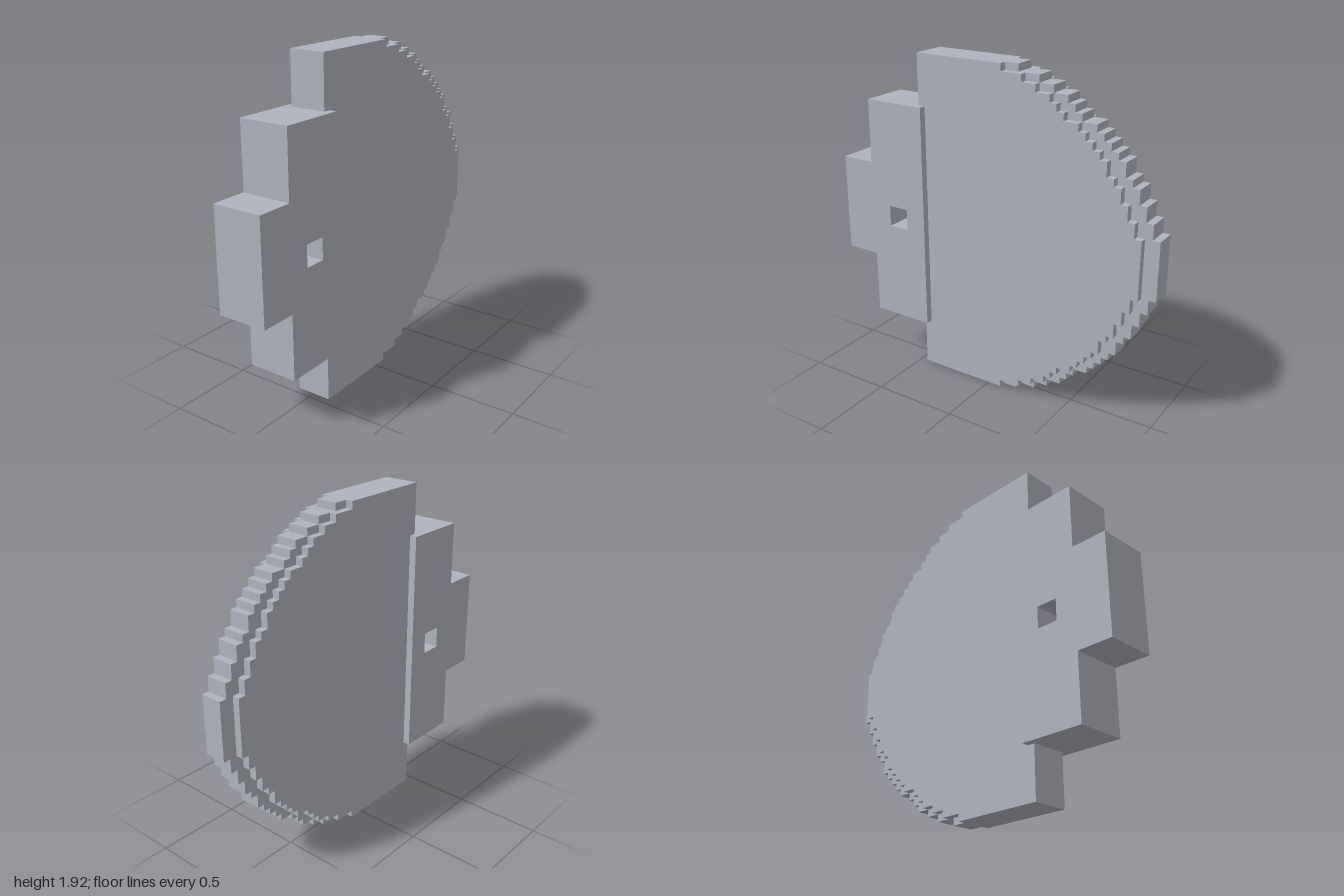
import * as THREE from 'three';

const U = 1 / 24; // one block of the stepped grid
const MID = 23; // height of the symmetry line, in blocks

const grey = new THREE.MeshStandardMaterial({ color: 0xb0b4be });
grey.name = 'grey';

// Right-hand edge as [x, rows below the top where the step ends]
const rimSteps = [
  [4, 1], [7, 2], [9, 3], [11, 4], [12, 5], [13, 6], [15, 7], [16, 8], [17, 9],
  [18, 10], [19, 12], [20, 13], [21, 15], [22, 17], [23, 19], [24, 23],
];
const cheekSteps = [
  [2, 1], [5, 2], [7, 3], [9, 4], [10, 5], [11, 6], [13, 7], [14, 8], [15, 9],
  [16, 10], [17, 12], [18, 13], [19, 15], [20, 17], [21, 19], [22, 23],
];

const toShape = (pts) =>
  new THREE.Shape(pts.map(([x, y]) => new THREE.Vector2(x * U, y * U)));

// Half disc: flat back edge, stepped curve mirrored about the middle height
function halfDisc(steps) {
  const upper = [];
  let row = 0;
  for (const [x, end] of steps) {
    upper.push([x, 2 * MID - row]);
    if (end < MID) upper.push([x, 2 * MID - end]);
    row = end;
  }
  const lower = upper.map(([x, y]) => [x, 2 * MID - y]);
  return toShape([[-11, 0], ...lower, ...upper.reverse(), [-11, 2 * MID]]);
}

// Plate between two depths, given in blocks
function plate(name, shape, z0, z1) {
  const geo = new THREE.ExtrudeGeometry(shape, { depth: (z1 - z0) * U, bevelEnabled: false });
  geo.translate(0, 0, z0 * U);
  const mesh = new THREE.Mesh(geo, grey);
  mesh.name = name;
  return mesh;
}

export function createModel() {
  const model = new THREE.Group();
  model.name = 'steppedHalfDisc';

  // Blade: wide central plate with a smaller cheek on each face
  const blade = new THREE.Group();
  blade.name = 'blade';
  const cheek = halfDisc(cheekSteps);
  blade.add(
    plate('rim', halfDisc(rimSteps), -1.5, 1.5),
    plate('frontCheek', cheek, 1.5, 2.5),
    plate('backCheek', cheek, -2.5, -1.5),
  );

  // Thicker stepped mount with a square through-hole
  const mount = toShape([
    [-24, 16], [-19, 16], [-19, 7], [-10, 7],
    [-10, 39], [-19, 39], [-19, 30], [-24, 30],
  ]);
  mount.holes.push(toShape([[-16, 21], [-16, 24], [-13, 24], [-13, 21]]));

  model.add(blade, plate('mount', mount, -3.5, 3.5));
  return model;
}
